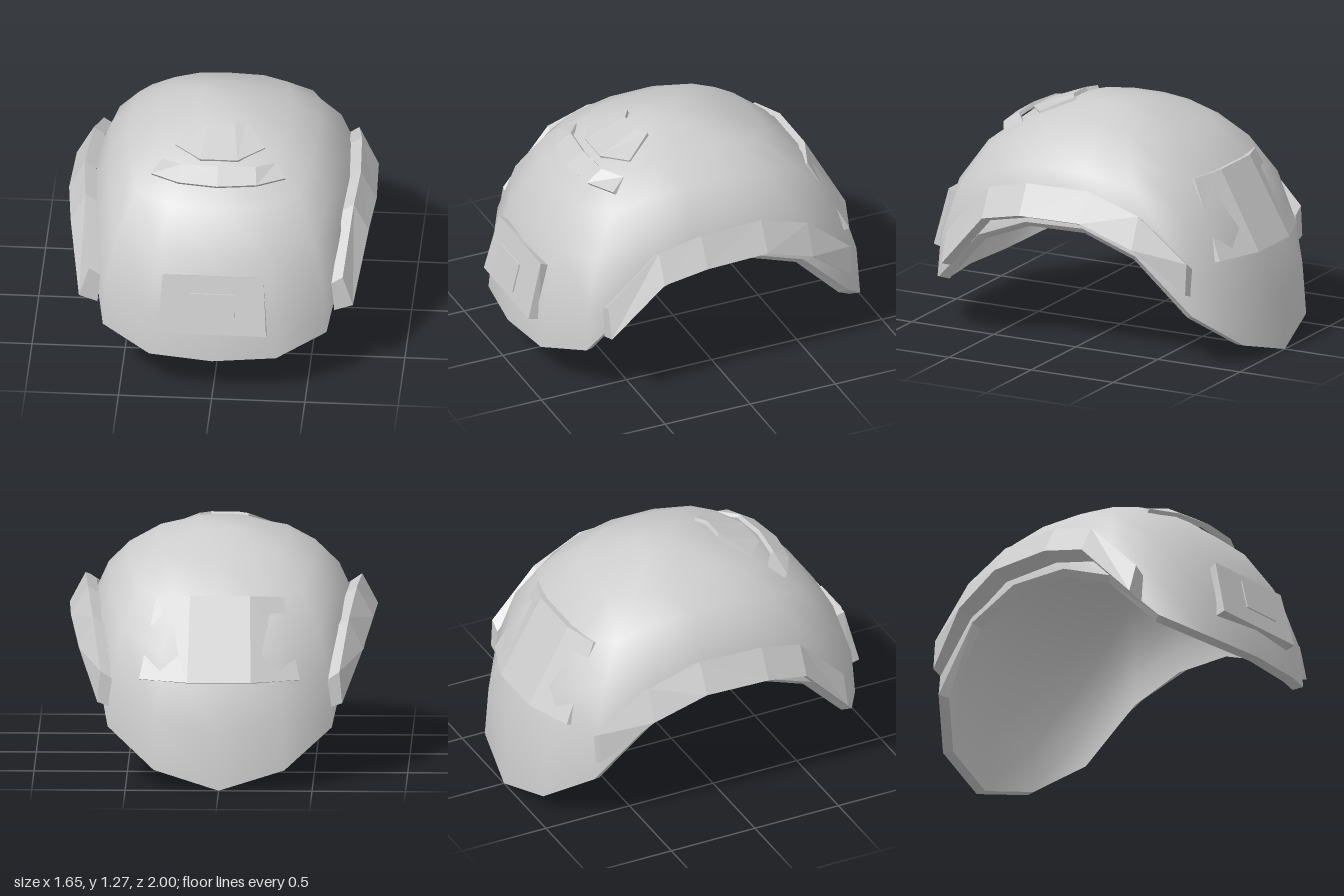
import * as THREE from 'three';
import { mergeVertices } from 'three/addons/utils/BufferGeometryUtils.js';

const shellGrey = new THREE.MeshStandardMaterial({ color: 0xcccccc });
shellGrey.name = 'shell grey';

// Half of the rim from front centre round to back centre: x, y, z, drop of the inner lip
const RIM = [
  [0, 0.215, 0.97, 0.005], [0.34, 0.225, 0.93, 0.01], [0.6, 0.31, 0.78, 0.015],
  [0.675, 0.6, 0.5, 0.025], [0.7, 0.72, 0.2, 0.03], [0.7, 0.73, -0.15, 0.035],
  [0.675, 0.61, -0.46, 0.03], [0.6, 0.3, -0.76, 0.02], [0.35, 0.1, -0.94, 0.005], [0, 0, -1, 0],
];
const LOOP = [...RIM, ...RIM.slice(1, -1).reverse().map(([x, ...r]) => [-x, ...r])];
const RINGS = [1, 0.98, 0.88, 0.72, 0.5, 0.19, 0];

const outerRim = LOOP.map(([x, y, z]) => [x, y, z]);
const innerRim = LOOP.map(([x, y, z, d]) => [x * 0.945, y - d, z * 0.94]);

// Each rim point rises to the crown along a superellipse
function domePoint([x, y, z], h, top) {
  const s = h < 0.2 ? 1 : Math.pow(1 - Math.pow(h, 2.2), 1 / 2.2);
  return [x * h, y + (top - y) * s, z * h];
}

function meshFrom(name, points, index, smooth) {
  let g = new THREE.BufferGeometry();
  g.setAttribute('position', new THREE.Float32BufferAttribute(points.flat(), 3));
  g.setIndex(index);
  g = smooth ? mergeVertices(g, 1e-5) : g.toNonIndexed();
  g.computeVertexNormals();
  const mesh = new THREE.Mesh(g, shellGrey);
  mesh.name = name;
  return mesh;
}

// Surface through rows of closed loops of points
function skin(name, rows, flip, smooth) {
  const n = rows[0].length, index = [];
  for (let r = 0; r < rows.length - 1; r++) {
    for (let c = 0; c < n; c++) {
      const a = r * n + c, b = r * n + (c + 1) % n;
      const tris = [[a, b, a + n], [b, b + n, a + n]];
      for (const [p, q, s] of tris) index.push(...(flip ? [p, s, q] : [p, q, s]));
    }
  }
  return meshFrom(name, rows.flat(), index, smooth);
}

// Closed flat-shaded solid through four-cornered sections, always facing outwards
function loft(name, sections) {
  const pts = sections.flat(), last = pts.length - 4;
  const index = [0, 2, 1, 0, 3, 2, last, last + 1, last + 2, last, last + 2, last + 3];
  for (let r = 0; r < last; r += 4) {
    for (let c = 0; c < 4; c++) {
      const a = r + c, b = r + (c + 1) % 4;
      index.push(a, b, a + 4, b, b + 4, a + 4);
    }
  }
  const v = pts.map(p => new THREE.Vector3(...p));
  let volume = 0;
  for (let i = 0; i < index.length; i += 3) {
    volume += v[index[i]].dot(v[index[i + 1]].clone().cross(v[index[i + 2]]));
  }
  if (volume < 0) index.reverse();
  return meshFrom(name, pts, index, false);
}

// Slab from upper and lower edge points, thickened by an offset (y, z)
function slab(name, edges, dy, dz) {
  return loft(name, edges.map(([u, l]) => [
    u, l, [l[0], l[1] + dy, l[2] + dz], [u[0], u[1] + dy, u[2] + dz],
  ]));
}

// Completes a list of edge pairs given from the centre outwards
function mirrored(half) {
  const left = half.map(pair => pair.map(([x, y, z]) => [-x, y, z])).reverse();
  return [...left, ...half.filter(pair => pair[0][0] > 0)];
}

export function createModel() {
  const model = new THREE.Group();
  model.name = 'helmet';

  // Dome shell, lining and the rim between them
  model.add(skin('outerShell', RINGS.map(h => outerRim.map(p => domePoint(p, h, 1.27))), false, true));
  model.add(skin('innerShell', RINGS.map(h => innerRim.map(p => domePoint(p, h, 1.215))), true, true));
  model.add(skin('rim', [outerRim, innerRim], true, false));

  // Side rails: z, top y, ridge y, top x, ridge x
  const stations = [
    [0.69, 0.6, 0.43, 0.68, 0.735], [0.41, 0.89, 0.735, 0.72, 0.8], [0.17, 0.95, 0.79, 0.74, 0.825],
    [-0.19, 0.95, 0.79, 0.72, 0.81], [-0.48, 0.84, 0.67, 0.685, 0.76], [-0.75, 0.6, 0.43, 0.64, 0.655],
  ];
  for (const side of [1, -1]) {
    model.add(loft(side > 0 ? 'leftRail' : 'rightRail', stations.map(([z, ty, ry, tx, rx]) => [
      [side * (tx - 0.06), ty - 0.04, z], [side * tx, ty, z],
      [side * rx, ry, z], [side * (rx - 0.1), ry - 0.035, z],
    ])));
  }

  // Front mounting plate and the small thin plate ahead of it
  model.add(loft('frontPlate', mirrored([
    [[0, 0.7, 0.9], [0, 0.385, 0.98], [0, 0.375, 0.94], [0, 0.69, 0.87]],
    [[0.27, 0.7, 0.9], [0.29, 0.385, 0.98], [0.29, 0.37, 0.92], [0.26, 0.675, 0.85]],
  ])));
  model.add(slab('frontBadge', mirrored([
    [[0.12, 0.625, 0.96], [0.12, 0.46, 1]],
  ]), 0, -0.008));

  // Rear panel wrapped round the back of the dome
  model.add(slab('rearPanel', mirrored([
    [[0.16, 1, -0.7], [0.17, 0.575, -0.935]],
    [[0.34, 0.985, -0.635], [0.43, 0.575, -0.84]],
  ]), -0.01, 0.035));

  // Crown pads: curved brow strip and the tapered plate above it
  model.add(slab('browStrip', mirrored([
    [[0, 1.165, 0.53], [0, 1.1, 0.63]],
    [[0.2, 1.16, 0.51], [0.21, 1.1, 0.6]],
    [[0.305, 1.145, 0.43], [0.36, 1.1, 0.515]],
  ]), -0.017, -0.015));
  model.add(slab('crownPlate', mirrored([
    [[0.07, 1.268, 0.25], [0.1, 1.175, 0.475]],
    [[0.13, 1.268, 0.21], [0.24, 1.195, 0.365]],
  ]), -0.02, -0.01));

  return model;
}
